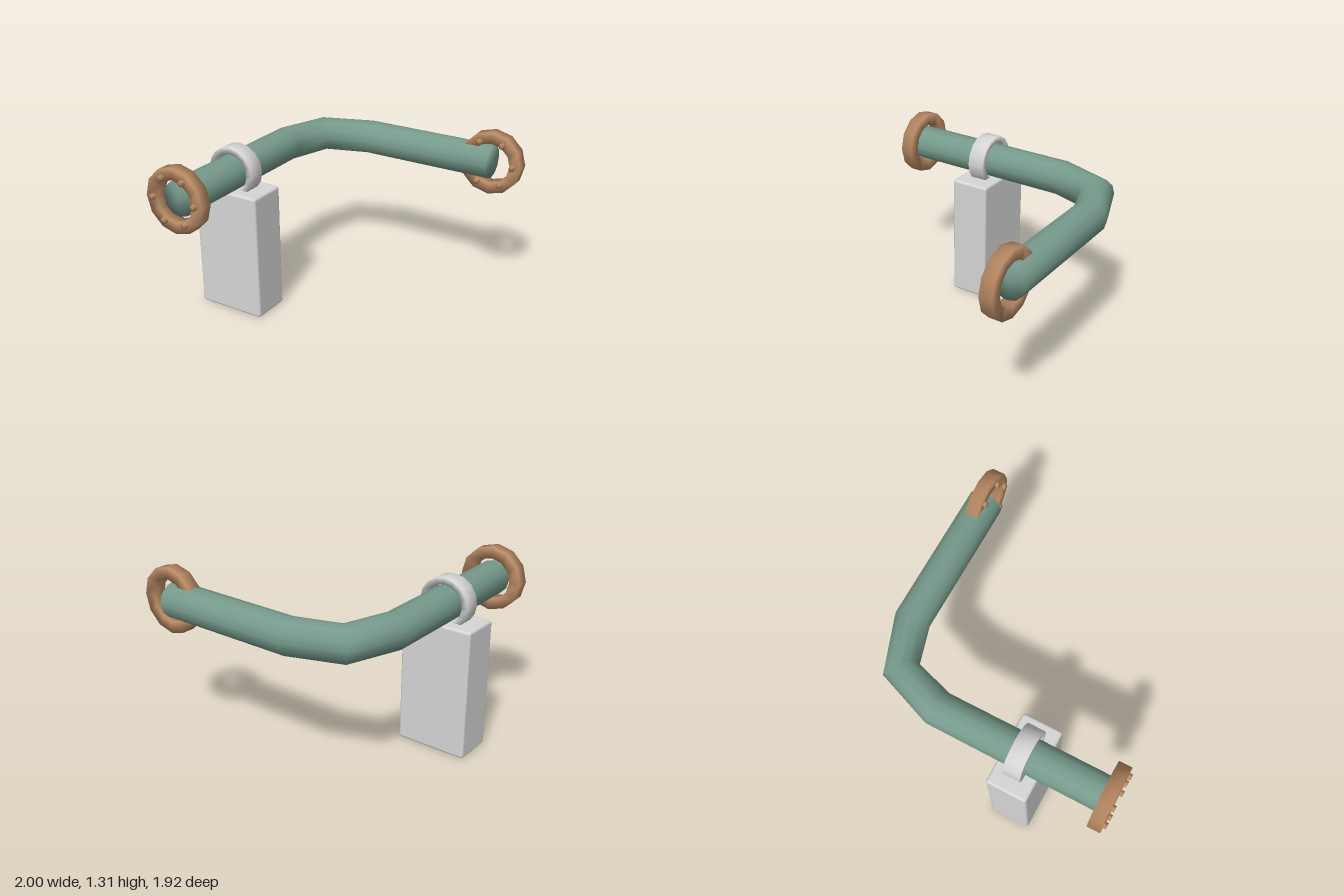
import * as THREE from 'three';
import { mergeVertices } from 'three/addons/utils/BufferGeometryUtils.js';
import { RoundedBoxGeometry } from 'three/addons/geometries/RoundedBoxGeometry.js';

const AXIS_Y = 1.075;   // height of the pipe's centre line
const PIPE_X = -0.735;  // x of the front run

// Weld all corners so the shading runs smoothly over every edge
function weld(geometry) {
  geometry.deleteAttribute('normal');
  geometry.deleteAttribute('uv');
  const welded = mergeVertices(geometry, 1e-4);
  welded.computeVertexNormals();
  return welded;
}

// Ring of rectangular section, axis along z
function ringGeometry(inner, outer, width, sides) {
  const h = width / 2;
  const profile = [[inner, -h], [outer, -h], [outer, h], [inner, h], [inner, -h]]
    .map(([r, y]) => new THREE.Vector2(r, y));
  return weld(new THREE.LatheGeometry(profile, sides)).rotateX(Math.PI / 2);
}

// Capped pipe swept through points lying in a horizontal plane
function pipeGeometry(points, radius, sides) {
  const up = new THREE.Vector3(0, 1, 0);
  const positions = [];
  const index = [];
  points.forEach((p, i) => {
    const tangent = new THREE.Vector3();
    if (i > 0) tangent.add(p.clone().sub(points[i - 1]).normalize());
    if (i < points.length - 1) tangent.add(points[i + 1].clone().sub(p).normalize());
    const side = up.clone().cross(tangent.normalize());
    for (let j = 0; j < sides; j++) {
      const a = (j / sides) * Math.PI * 2;
      const v = p.clone()
        .addScaledVector(side, Math.cos(a) * radius)
        .addScaledVector(up, Math.sin(a) * radius);
      positions.push(v.x, v.y, v.z);
    }
  });
  const last = (points.length - 1) * sides;
  const startCentre = points.length * sides;
  for (const p of [points[0], points[points.length - 1]]) positions.push(p.x, p.y, p.z);
  for (let j = 0; j < sides; j++) {
    const k = (j + 1) % sides;
    for (let r = 0; r < last; r += sides) {
      index.push(r + j, r + k, r + sides + j, r + k, r + sides + k, r + sides + j);
    }
    index.push(startCentre, k, j, startCentre + 1, last + j, last + k);
  }
  const geometry = new THREE.BufferGeometry();
  geometry.setAttribute('position', new THREE.Float32BufferAttribute(positions, 3));
  geometry.setIndex(index);
  geometry.computeVertexNormals();
  return geometry;
}

export function createModel() {
  const pipeGreen = new THREE.MeshStandardMaterial({ color: 0x769a8c });
  const flangeCopper = new THREE.MeshStandardMaterial({ color: 0xb98a64 });
  const supportGrey = new THREE.MeshStandardMaterial({ color: 0xd6d6d6 });

  const model = new THREE.Group();
  const add = (parent, name, geometry, material, x, y, z) => {
    const mesh = new THREE.Mesh(geometry, material);
    mesh.name = name;
    mesh.position.set(x, y, z);
    parent.add(mesh);
    return mesh;
  };

  // Pipe with an elbow
  const path = [[PIPE_X, 0.89], [PIPE_X, -0.37], [-0.615, -0.72], [-0.27, -0.837], [0.76, -0.837]]
    .map(([x, z]) => new THREE.Vector3(x, 0, z));
  add(model, 'pipe', pipeGeometry(path, 0.127, 12), pipeGreen, 0, AXIS_Y, 0);

  // Flanges with six bolts each
  const flangeShape = ringGeometry(0.153, 0.237, 0.093, 12);
  const boltShape = weld(new THREE.CylinderGeometry(0.022, 0.022, 0.07, 8)).rotateX(Math.PI / 2);
  for (const [name, x, z] of [['frontFlange', PIPE_X, 0.89], ['rearFlange', 0.76, -0.837]]) {
    const flange = new THREE.Group();
    flange.name = name;
    flange.position.set(x, AXIS_Y, z);
    add(flange, name + 'Ring', flangeShape, flangeCopper, 0, 0, 0);
    for (let i = 0; i < 6; i++) {
      const a = (i * Math.PI) / 3;
      add(flange, 'bolt', boltShape, flangeCopper, Math.cos(a) * 0.176, Math.sin(a) * 0.176, 0.034);
    }
    model.add(flange);
  }

  // Clamp and its support block
  add(model, 'clamp', ringGeometry(0.14, 0.186, 0.125, 16), supportGrey, PIPE_X, AXIS_Y, 0.272);
  add(model, 'supportBlock', new RoundedBoxGeometry(0.535, 0.957, 0.3, 2, 0.02), supportGrey,
    -0.7325, 0.4785, 0.272);

  return model;
}
